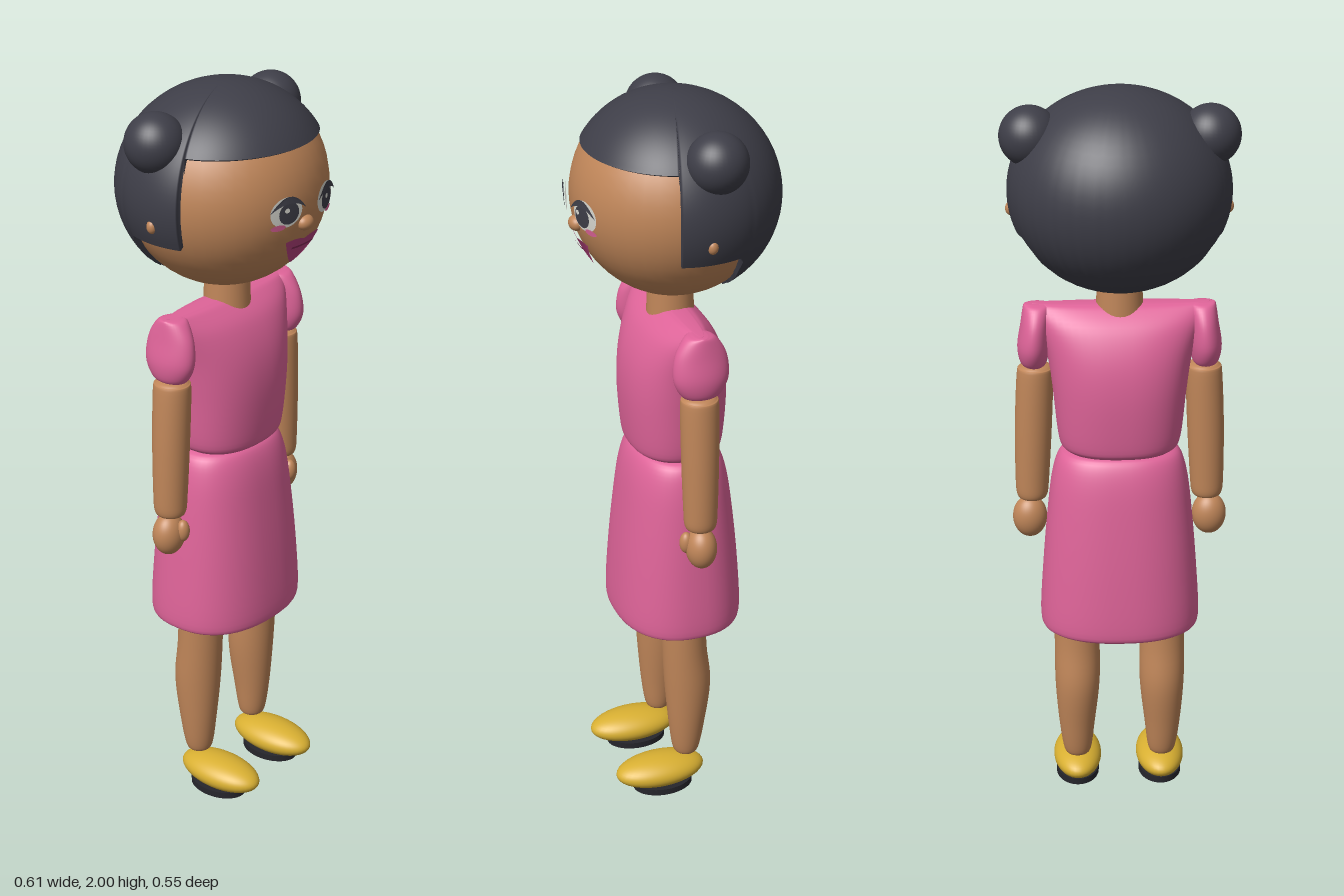
import * as THREE from 'three';

const mat = (name, color) => Object.assign(new THREE.MeshStandardMaterial({ color }), { name });

export function createModel() {
  const model = new THREE.Group();
  const skin = mat('skin', 0xc08659), pink = mat('dress pink', 0xdf6499), hairMat = mat('hair', 0x3e3e48);
  const yellow = mat('shoe yellow', 0xd9b032), sole = mat('sole black', 0x26262c);
  const white = mat('eye white', 0xd8d8d0), lip = mat('lip magenta', 0xb8437f), lipDark = mat('lip line', 0x842a58);

  function add(name, geometry, material, parent = model) {
    const m = new THREE.Mesh(geometry, material);
    m.name = name;
    parent.add(m);
    return m;
  }
  function ball(name, material, pos, size) {
    const m = add(name, new THREE.SphereGeometry(1, 40, 28), material);
    m.position.set(...pos);
    m.scale.set(...size);
    return m;
  }

  // Closed smooth body through rows of [y, centreX, radiusX, centreZ, radiusZ], listed upwards
  function loft(rows, power = 1, seg = 40) {
    const spline = (pts) => new THREE.CatmullRomCurve3(pts, false, 'catmullrom', 0.5);
    const a = spline(rows.map((r) => new THREE.Vector3(r[0], r[1], r[2])));
    const b = spline(rows.map((r) => new THREE.Vector3(r[3], r[4], 0)));
    const n = (rows.length - 1) * 5, pos = [], idx = [];
    const bend = (v) => Math.sign(v) * Math.abs(v) ** power;
    for (let i = 0; i <= n; i++) {
      const p = a.getPoint(i / n), q = b.getPoint(i / n);
      for (let j = 0; j < seg; j++) {
        const t = (j / seg) * Math.PI * 2;
        pos.push(p.y + p.z * bend(Math.cos(t)), p.x, q.x + q.y * bend(Math.sin(t)));
      }
    }
    for (let i = 0; i < n; i++) for (let j = 0; j < seg; j++) {
      const k = (j + 1) % seg, p = i * seg + j, q = i * seg + k;
      idx.push(p, p + seg, q, q, p + seg, q + seg);
    }
    const first = rows[0], last = rows[rows.length - 1], c = pos.length / 3;
    pos.push(first[1], first[0], first[3], last[1], last[0], last[3]);
    for (let j = 0; j < seg; j++) {
      const k = (j + 1) % seg;
      idx.push(c, j, k, c + 1, n * seg + k, n * seg + j);
    }
    const g = new THREE.BufferGeometry();
    g.setAttribute('position', new THREE.Float32BufferAttribute(pos, 3));
    g.setIndex(idx);
    g.computeVertexNormals();
    return g;
  }

  // Head
  const CY = 1.737, HR = [0.268, 0.262, 0.258];
  ball('head', skin, [0, CY, 0], HR);
  ball('nose', skin, [0, 1.685, 0.252], [0.025, 0.02, 0.02]);
  add('neck', new THREE.CylinderGeometry(0.058, 0.062, 0.1, 32), skin).position.set(0, 1.46, 0.005);

  // Hair shell: short fringe, side locks and a long back with an uneven hem
  function hairGeometry() {
    const rows = 28, pos = [], idx = [], az = [];
    for (let d = 0; d < 360; d += 3) az.push(d);
    az.push(73, 74, 286, 287);
    az.sort((p, q) => p - q);
    const side = Math.acos((1.64 - CY) / 0.263);
    const limit = (deg) => {
      const d = Math.min(deg, 360 - deg);
      if (d < 73.5) return Math.acos((1.87 - CY) / 0.263);
      if (d < 108) return side;
      const back = Math.PI - Math.asin(Math.min(1, 0.1 / (0.275 * Math.abs(Math.cos(d * Math.PI / 180)))));
      return Math.max(side, back + 0.03 * Math.sin(deg * 1.3));
    };
    const stride = rows + 3;
    for (const deg of az) {
      const t = deg * Math.PI / 180, end = limit(deg);
      for (let i = 0; i < stride; i++) {
        const th = end * Math.min(1, i / rows), s = i === rows + 2 ? 0.92 : 1;
        const rz = Math.cos(t) > 0 ? 0.263 : 0.275;
        pos.push(0.287 * s * Math.sin(th) * Math.sin(t), 0.263 * s * Math.cos(th), rz * s * Math.sin(th) * Math.cos(t));
      }
    }
    for (let j = 0; j < az.length; j++) for (let i = 0; i < stride - 1; i++) {
      if (i === rows) continue;
      const p = j * stride + i, q = ((j + 1) % az.length) * stride + i;
      idx.push(p, p + 1, q, q, p + 1, q + 1);
    }
    const g = new THREE.BufferGeometry();
    g.setAttribute('position', new THREE.Float32BufferAttribute(pos, 3));
    g.setIndex(idx);
    g.computeVertexNormals();
    return g;
  }
  hairMat.side = THREE.DoubleSide;
  add('hair', hairGeometry(), hairMat).position.y = CY;

  // Painted face details: flat shapes wrapped onto the front of the head
  function facePatch(name, geometry, material, x, y, lift) {
    const p = geometry.attributes.position;
    for (let i = 0; i < p.count; i++) {
      const px = p.getX(i) + x, py = p.getY(i) + y;
      const k = 1 - (px / HR[0]) ** 2 - ((py - CY) / HR[1]) ** 2;
      p.setXYZ(i, px, py, HR[2] * Math.sqrt(Math.max(0, k)) + lift);
    }
    geometry.computeVertexNormals();
    add(name, geometry, material);
  }
  const oval = (rx, ry) => new THREE.CircleGeometry(1, 32).scale(rx, ry, 1);
  const lash = new THREE.Shape();
  lash.moveTo(-0.052, 0.002);
  lash.quadraticCurveTo(0, 0.075, 0.052, 0.002);
  lash.quadraticCurveTo(0, 0.04, -0.052, 0.002);
  const mouth = new THREE.Shape();
  mouth.moveTo(0, -0.045);
  mouth.quadraticCurveTo(0.04, -0.02, 0.066, 0.034);
  mouth.quadraticCurveTo(0.03, 0.042, 0, 0.03);
  mouth.quadraticCurveTo(-0.03, 0.042, -0.066, 0.034);
  mouth.quadraticCurveTo(-0.04, -0.02, 0, -0.045);
  facePatch('lips', new THREE.ShapeGeometry(mouth), lip, 0, 1.613, 0.01);
  facePatch('lipLine', new THREE.PlaneGeometry(0.085, 0.006, 8, 1), lipDark, 0, 1.626, 0.014);

  for (const s of [-1, 1]) {
    const side = s > 0 ? 'left' : 'right';
    facePatch(side + 'EyeWhite', oval(0.046, 0.039), white, s * 0.077, 1.732, 0.01);
    facePatch(side + 'Iris', oval(0.029, 0.028), hairMat, s * 0.075, 1.73, 0.014);
    facePatch(side + 'Lashes', new THREE.ShapeGeometry(lash, 10), hairMat, s * 0.077, 1.735, 0.017);
    facePatch(side + 'EyeGlint', oval(0.007, 0.006), white, s * 0.075 - 0.01, 1.74, 0.018);
    facePatch(side + 'Blush', oval(0.02, 0.008), pink, s * 0.1, 1.695, 0.011);
    ball(side + 'Bun', hairMat, [s * 0.227, 1.886, -0.035], [0.077, 0.077, 0.078]);
    ball(side + 'EarTip', skin, [s * 0.277, 1.692, -0.006], [0.014, 0.018, 0.014]);

    // Sleeve, arm and hand
    add(side + 'Sleeve', loft([
      [1.262, s * 0.222, 0.016, 0.003, 0.025], [1.275, s * 0.225, 0.034, 0.003, 0.052], [1.32, s * 0.225, 0.042, 0.003, 0.073],
      [1.38, s * 0.22, 0.038, 0.003, 0.068], [1.425, s * 0.215, 0.036, 0.003, 0.042], [1.435, s * 0.215, 0.032, 0.003, 0.016],
    ]), pink);
    add(side + 'Arm', loft([
      [0.885, s * 0.234, 0.024, 0.005, 0.025], [0.897, s * 0.234, 0.04, 0.005, 0.041], [0.95, s * 0.233, 0.045, 0.005, 0.045],
      [1.1, s * 0.228, 0.049, 0.005, 0.049], [1.24, s * 0.222, 0.048, 0.005, 0.05], [1.26, s * 0.221, 0.042, 0.005, 0.044],
      [1.268, s * 0.221, 0.025, 0.005, 0.028],
    ]), skin);
    ball(side + 'Hand', skin, [s * 0.241, 0.832, 0.005], [0.046, 0.058, 0.041]);
    ball(side + 'Thumb', skin, [s * 0.228, 0.847, 0.042], [0.018, 0.03, 0.018]);

    // Leg and shoe
    add(side + 'Leg', loft([
      [0.1, s * 0.118, 0.02, 0.002, 0.02], [0.115, s * 0.118, 0.037, 0.002, 0.036], [0.2, s * 0.119, 0.049, 0, 0.05],
      [0.33, s * 0.117, 0.061, -0.003, 0.064], [0.45, s * 0.117, 0.062, 0.006, 0.061], [0.58, s * 0.117, 0.063, 0.01, 0.06],
    ]), skin);
    ball(side + 'Shoe', yellow, [s * 0.117, 0.054, 0.078], [0.067, 0.043, 0.127]);
    const tread = add(side + 'Sole', new THREE.CylinderGeometry(1, 1, 0.018, 40), sole);
    tread.position.set(s * 0.117, 0.011, 0.07);
    tread.scale.set(0.06, 1, 0.085);
  }

  // Dress: bodice flaring into flat shoulders, and a bell skirt
  add('bodice', loft([
    [1.03, 0, 0.12, 0.003, 0.085], [1.038, 0, 0.145, 0.003, 0.112], [1.07, 0, 0.162, 0.003, 0.125], [1.2, 0, 0.176, 0.003, 0.133],
    [1.3, 0, 0.19, 0.003, 0.122], [1.38, 0, 0.212, 0.003, 0.09], [1.425, 0, 0.23, 0.003, 0.045], [1.436, 0, 0.235, 0.003, 0.018],
  ], 0.85, 56), pink);
  add('skirt', loft([
    [0.518, 0, 0.17, 0, 0.13], [0.524, 0, 0.203, 0, 0.16], [0.555, 0, 0.215, 0, 0.172], [0.7, 0, 0.207, 0, 0.164],
    [0.85, 0, 0.194, 0, 0.149], [0.96, 0, 0.18, 0, 0.133], [1.02, 0, 0.16, 0, 0.112], [1.037, 0, 0.125, 0, 0.085],
  ], 0.85, 56), pink);

  return model;
}
